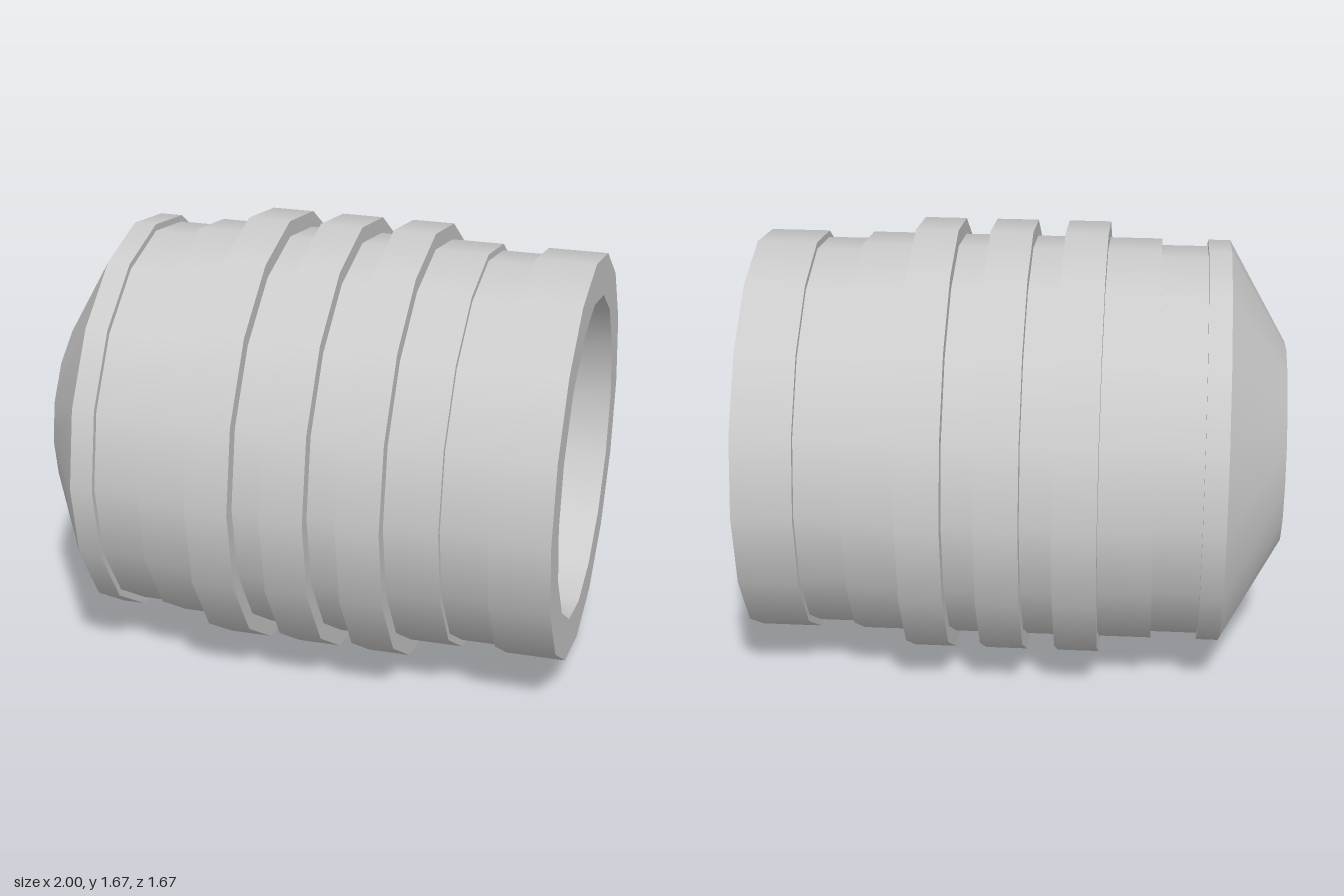
import * as THREE from 'three';
import { mergeGeometries } from 'three/addons/utils/BufferGeometryUtils.js';

const SIDES = 16;
const R_BODY = 0.775, R_GROOVE = 0.75, R_RIB = 0.836;
const material = new THREE.MeshStandardMaterial({ color: 0xcccccc });

// Revolves a profile of [x, radius] points about the x axis:
// smooth around the axis, sharp at every profile corner.
function revolve(name, profile) {
  const bands = [];
  for (let i = 0; i < profile.length - 1; i++) {
    const pts = [profile[i], profile[i + 1]].map(([x, r]) => new THREE.Vector2(r, x));
    bands.push(new THREE.LatheGeometry(pts, SIDES));
  }
  const mesh = new THREE.Mesh(mergeGeometries(bands).rotateZ(-Math.PI / 2), material);
  mesh.name = name;
  return mesh;
}

export function createModel() {
  const group = new THREE.Group();
  group.name = 'ribbedSleeve';

  // Tapered nose
  group.add(revolve('noseCone', [[-1, 0.39], [-0.78, R_BODY]]));

  // Outer wall with a shallow groove near each end
  group.add(revolve('outerWall', [
    [-0.78, R_BODY], [-0.695, R_BODY], [-0.695, R_GROOVE], [-0.52, R_GROOVE],
    [-0.52, R_BODY], [0.6, R_BODY], [0.6, R_GROOVE], [0.775, R_GROOVE],
    [0.775, R_BODY], [1, R_BODY],
  ]));

  // Three raised ribs
  for (const x of [-0.32, -0.04, 0.24]) {
    group.add(revolve('rib', [
      [x, R_BODY], [x, R_RIB], [x + 0.16, R_RIB], [x + 0.16, R_BODY],
    ]));
  }

  // Wide end: rim, tapered mouth, step and deep blind bore
  group.add(revolve('mainBore', [
    [1, R_BODY], [1, 0.617], [0.8, 0.6], [0.8, 0.57], [-0.4, 0.57], [-0.4, 0],
  ]));

  // Nose end: smaller stepped recess
  group.add(revolve('noseRecess', [
    [-0.6, 0], [-0.6, 0.37], [-0.88, 0.37], [-0.88, 0.39], [-1, 0.39],
  ]));

  group.position.y = R_RIB;
  const root = new THREE.Group();
  root.add(group);
  return root;
}
